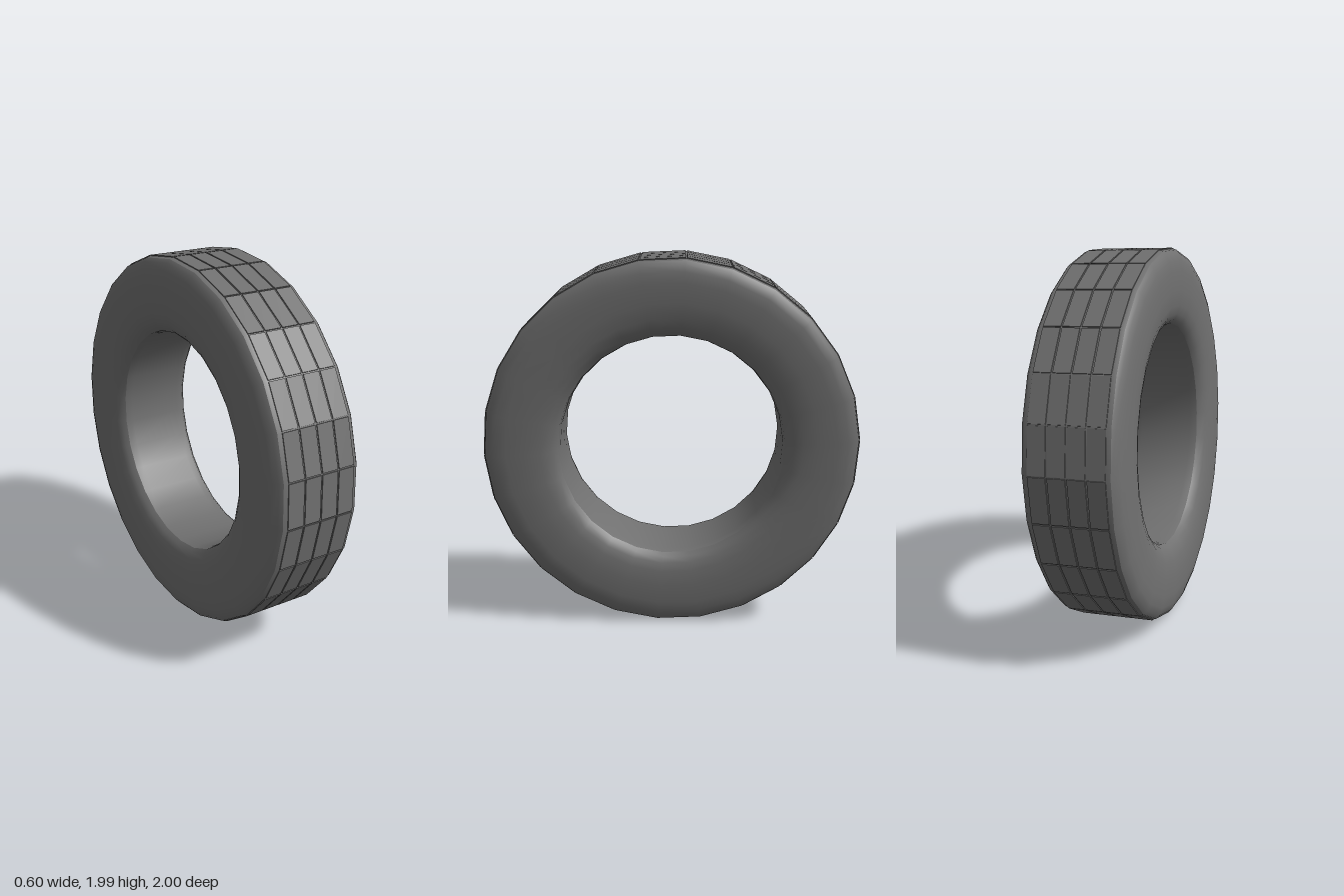
import * as THREE from 'three';
import { mergeGeometries, toCreasedNormals } from 'three/addons/utils/BufferGeometryUtils.js';

const SIDES = 26;         // facets around the tyre
const COLUMNS = 4;        // tread blocks across the width
const TREAD_RADIUS = 0.992;
const TREAD_WIDTH = 0.39;
const GAP = 0.008;

// Tyre carcass: closed, mirrored profile of [radius, half width] turned round the x axis
function tyreBody() {
  const half = [
    [0.987, 0.195], [0.981, 0.213], [0.963, 0.229], [0.925, 0.242], [0.87, 0.248],
    [0.77, 0.248], [0.69, 0.241], [0.645, 0.228], [0.615, 0.21], [0.597, 0.19], [0.59, 0.15],
  ];
  const profile = [
    ...half.map(([r, w]) => new THREE.Vector2(r, -w)).reverse(),
    ...half.map(([r, w]) => new THREE.Vector2(r, w)),
  ];
  profile.push(profile[0].clone());
  const geometry = new THREE.LatheGeometry(profile, SIDES);
  geometry.rotateZ(-Math.PI / 2);
  return toCreasedNormals(geometry, 0.5);
}

// Rows of flat tread blocks, one per facet, separated by narrow grooves
function treadBlocks() {
  const apothem = TREAD_RADIUS * Math.cos(Math.PI / SIDES);
  const length = 2 * TREAD_RADIUS * Math.sin(Math.PI / SIDES) - GAP;
  const depth = 0.025;
  const pitch = TREAD_WIDTH / COLUMNS;
  const blocks = [];
  for (let i = 0; i < SIDES; i++) {
    const angle = ((i + 0.5) / SIDES) * Math.PI * 2;
    for (let j = 0; j < COLUMNS; j++) {
      const block = new THREE.BoxGeometry(pitch - GAP, length, depth);
      block.translate((j - (COLUMNS - 1) / 2) * pitch, 0, apothem - depth / 2);
      block.rotateX(angle);
      blocks.push(block);
    }
  }
  return mergeGeometries(blocks);
}

export function createModel() {
  const model = new THREE.Group();
  model.name = 'tyre';
  const material = new THREE.MeshStandardMaterial({ color: 0x707070 });

  const wheel = new THREE.Group();
  wheel.name = 'leaningTyre';
  const addPart = (name, geometry) => {
    const mesh = new THREE.Mesh(geometry, material);
    mesh.name = name;
    mesh.rotation.x = THREE.MathUtils.degToRad(2.4);
    wheel.add(mesh);
  };
  addPart('carcass', tyreBody());
  addPart('treadBlocks', treadBlocks());

  // Slight lean and turn of the axle
  const axle = new THREE.Vector3(1, -0.037, -0.047).normalize();
  wheel.quaternion.setFromUnitVectors(new THREE.Vector3(1, 0, 0), axle);
  wheel.position.y = 0.997;
  model.add(wheel);
  return model;
}
